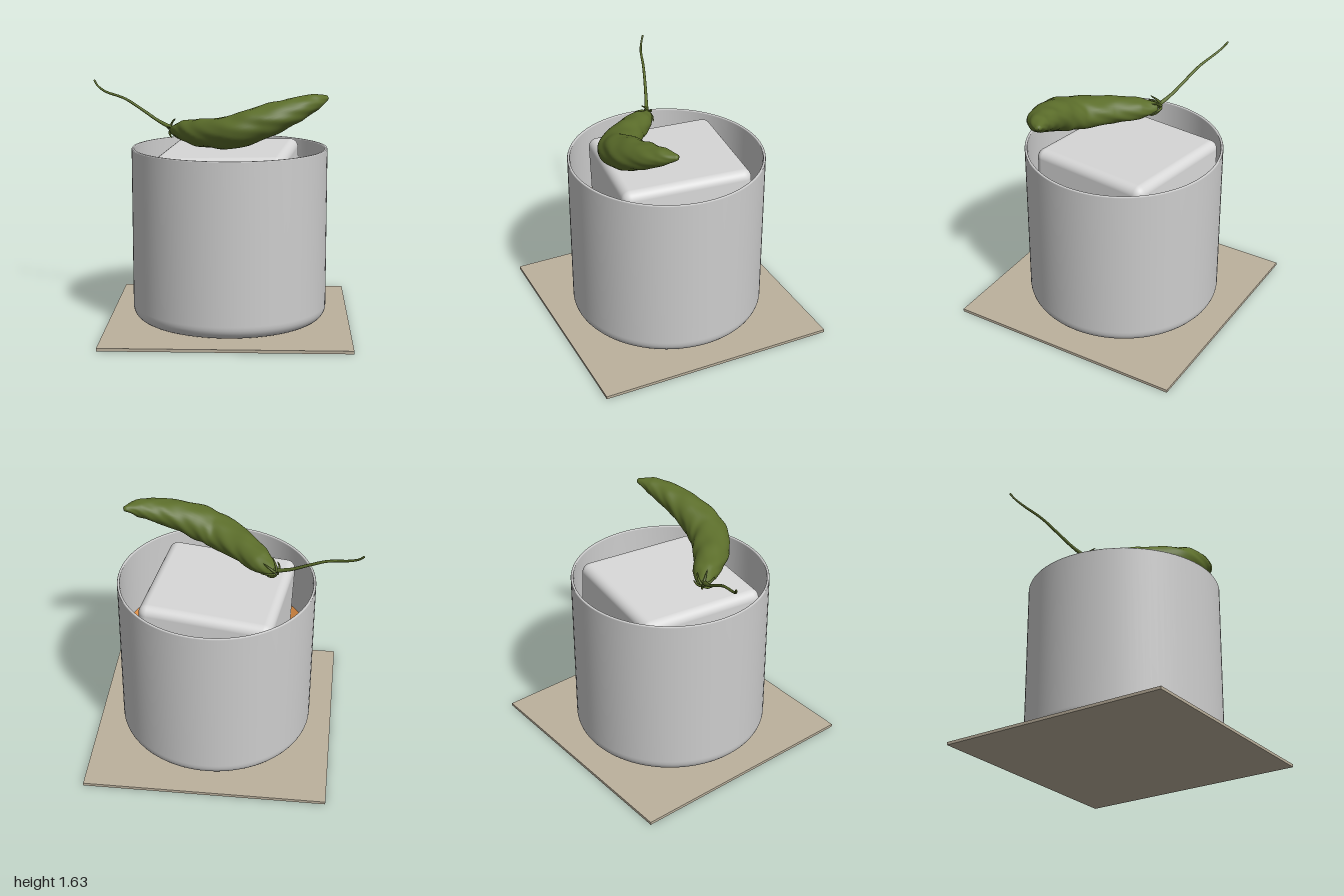
import * as THREE from 'three';
import { RoundedBoxGeometry } from 'three/addons/geometries/RoundedBoxGeometry.js';

const mat = (name, color) => {
  const m = new THREE.MeshStandardMaterial({ color });
  m.name = name;
  return m;
};
const V = (x, y, z) => new THREE.Vector3(x, y, z);

// Closed skin swept along a smooth curve; radius(u) is the half width, flat squeezes it vertically
function sweep(points, radius, { rings = 24, sides = 8, flat = 1, bump = () => 0 } = {}) {
  const curve = new THREE.CatmullRomCurve3(points);
  const pos = [], idx = [];
  for (let i = 0; i <= rings; i++) {
    const u = i / rings;
    const c = curve.getPoint(u), t = curve.getTangent(u);
    const side = t.clone().cross(V(0, 1, 0)).normalize();
    const up = side.clone().cross(t);
    for (let j = 0; j < sides; j++) {
      const a = (j / sides) * Math.PI * 2;
      const r = i === 0 || i === rings ? 0 : radius(u) * (1 + bump(u, a));
      const p = c.clone().addScaledVector(side, r * Math.cos(a)).addScaledVector(up, r * flat * Math.sin(a));
      pos.push(p.x, p.y, p.z);
      if (i < rings) {
        const k = i * sides + j, n = i * sides + (j + 1) % sides;
        idx.push(k, k + sides, n, n, k + sides, n + sides);
      }
    }
  }
  const g = new THREE.BufferGeometry();
  g.setAttribute('position', new THREE.Float32BufferAttribute(pos, 3));
  g.setIndex(idx);
  g.computeVertexNormals();
  return g;
}

// Linear lookup in an evenly spaced list
const ramp = (list) => (u) => {
  const f = u * (list.length - 1), i = Math.min(Math.floor(f), list.length - 2);
  return THREE.MathUtils.lerp(list[i], list[i + 1], f - i);
};

export function createModel() {
  const model = new THREE.Group();
  const glass = mat('pale grey glass', 0xcdcdcd);
  const iceMat = mat('white ice', 0xd8d8d8);
  const orange = mat('orange drink', 0xd98a42);
  const green = mat('pepper green', 0x5c6e2b);
  const card = mat('beige card', 0xbcb19d);
  const add = (name, geometry, material, parent = model) => {
    const m = new THREE.Mesh(geometry, material);
    m.name = name;
    parent.add(m);
    return m;
  };

  // Square coaster, turned a little
  const coaster = add('coaster', new THREE.BoxGeometry(1.64, 0.02, 1.64), card);
  coaster.position.y = 0.01;
  coaster.rotation.y = 0.25;

  // Tumbler: rounded foot, straight wall, thin lip, hollow inside
  const R = 0.665, f = 0.085, base = 0.025;
  const profile = [new THREE.Vector2(0, base), new THREE.Vector2(R - f - 0.01, base)];
  for (let i = 0; i <= 8; i++) {
    const a = (i / 8) * Math.PI / 2;
    profile.push(new THREE.Vector2(R - f + f * Math.sin(a), base + f - f * Math.cos(a)));
  }
  profile.push(
    new THREE.Vector2(R, 0.12), new THREE.Vector2(R, 1.193), new THREE.Vector2(R - 0.003, 1.2),
    new THREE.Vector2(R - 0.015, 1.2), new THREE.Vector2(R - 0.018, 1.193), new THREE.Vector2(R - 0.018, 0.16),
    new THREE.Vector2(R - 0.04, 0.11), new THREE.Vector2(R - 0.09, 0.09), new THREE.Vector2(0, 0.09));
  add('tumbler', new THREE.LatheGeometry(profile, 96), glass);

  // Drink surface, climbing towards the wall
  const surface = [];
  for (let i = 0; i <= 12; i++) {
    const r = 1 - i / 12;
    surface.push(new THREE.Vector2(0.65 * r, 0.5 + 0.22 * r ** 3));
  }
  add('drink', new THREE.LatheGeometry(surface, 64), orange);

  // Big ice cube, slightly tilted
  const ice = add('iceCube', new RoundedBoxGeometry(0.89, 0.89, 0.89, 6, 0.06), iceMat);
  ice.position.set(-0.01, 0.745, -0.025);
  ice.rotation.set(0.022, 0.125, 0.033);

  // Curved, wrinkled pepper
  const pepper = new THREE.Group();
  pepper.name = 'pepper';
  model.add(pepper);
  const spine = [
    V(-0.385, 1.31, 0.06), V(-0.27, 1.318, 0.13), V(-0.1, 1.325, 0.25), V(0.13, 1.352, 0.345),
    V(0.32, 1.42, 0.32), V(0.5, 1.49, 0.235), V(0.62, 1.54, 0.14), V(0.69, 1.565, 0.06)];
  const wrinkle = (u, a) =>
    0.04 * Math.sin(3 * a + 9 * u) * Math.sin(26 * u + a) +
    0.035 * Math.sin(48 * u + 2 * Math.sin(2 * a)) * Math.cos(4 * a + 5 * u);
  add('pepperBody', sweep(spine, ramp([0.035, 0.085, 0.115, 0.135, 0.13, 0.103, 0.066, 0.015]),
    { rings: 90, sides: 40, flat: 0.82, bump: wrinkle }), green, pepper);

  // Long wavy stem
  add('pepperStem', sweep([
    V(-0.36, 1.315, 0.07), V(-0.42, 1.335, 0.058), V(-0.5, 1.37, 0.045), V(-0.62, 1.44, 0.03),
    V(-0.75, 1.51, 0.018), V(-0.9, 1.555, 0.008), V(-0.96, 1.59, -0.008), V(-0.995, 1.63, -0.026)],
  ramp([0.02, 0.014, 0.011, 0.01, 0.009, 0.008, 0.007, 0.007]), { rings: 60, sides: 10 }), green, pepper);

  // Small dry sepals around the stem end
  const axis = V(0.82, 0.08, 0.57).normalize();
  const side = axis.clone().cross(V(0, 1, 0)).normalize();
  const up = side.clone().cross(axis);
  for (let i = 0; i < 6; i++) {
    const a = (i / 6) * Math.PI * 2 + 0.3;
    const at = (along, out) => V(-0.385, 1.315, 0.06).addScaledVector(axis, along)
      .addScaledVector(side, out * Math.cos(a)).addScaledVector(up, out * Math.sin(a));
    add('sepal', sweep([at(-0.025, 0.008), at(-0.01, 0.03), at(0.015, 0.052), at(0.06, 0.07 + 0.008 * (i % 2))],
      ramp([0.009, 0.008, 0.004]), { rings: 10, sides: 6 }), green, pepper);
  }
  return model;
}
